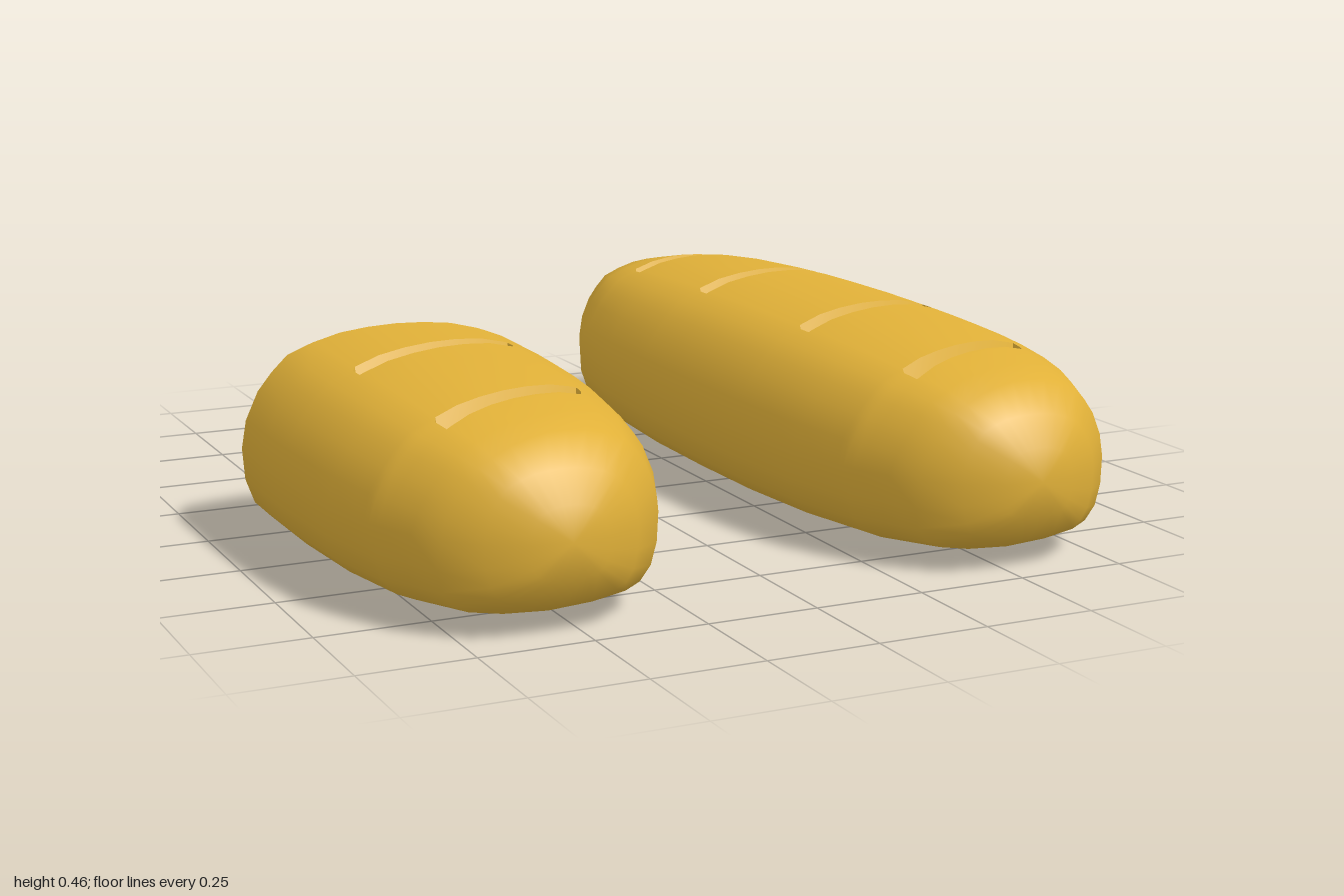
import * as THREE from 'three';
import { toCreasedNormals } from 'three/addons/utils/BufferGeometryUtils.js';

const MID_Y = 0.21;
const SLOPE = -0.27; // slant of the slashes, dz per dx

// Half cross-section, top to bottom: fraction of half width, fraction of height above / below MID_Y
const HALF = [[0, 1], [0.18, 0.99], [0.36, 0.96], [0.53, 0.895], [0.56, 0.88], [0.7, 0.8], [0.8, 0.66],
  [0.89, 0.5], [0.97, 0.25], [1, 0], [0.985, -0.35], [0.93, -0.62], [0.83, -0.8], [0.7, -0.89], [0.4, -0.965], [0, -1]];
const SECTION = [...HALF, ...HALF.slice(1, -1).reverse().map(([u, v]) => [-u, v])];

// Lengthwise profile: |z|, half width, rise above MID_Y, drop below MID_Y
const PROFILE = [[0, 0.37, 0.255, 0.205], [0.25, 0.367, 0.253, 0.204], [0.5, 0.352, 0.244, 0.198],
  [0.71, 0.317, 0.225, 0.19], [0.87, 0.245, 0.193, 0.175], [0.945, 0.166, 0.138, 0.14],
  [0.985, 0.085, 0.072, 0.08], [1, 0, 0, 0]];

// Groove across its width: offset in z, depth
const GROOVE = [[-0.028, 0], [-0.012, 0.034], [0.004, 0.036], [0.027, 0]];

function profileAt(z) {
  const d = Math.min(Math.abs(z), 1);
  let i = 1;
  while (PROFILE[i][0] < d) i++;
  const a = PROFILE[i - 1], b = PROFILE[i];
  const t = (d - a[0]) / (b[0] - a[0]);
  return [1, 2, 3].map((k) => a[k] + (b[k] - a[k]) * t);
}

// Rings are slanted along the slashes, but straight at the tips and at z = 0
function slant(s) {
  const d = Math.abs(s);
  return SLOPE * Math.min(1, d / 0.2) * THREE.MathUtils.clamp((0.93 - d) / 0.17, 0, 1);
}

function loafGeometry(from, slashes) {
  const stations = [];
  for (const s of slashes) for (const [dz, depth] of GROOVE) stations.push([s + dz, depth]);
  const levels = [...PROFILE.map((p) => p[0]), 0.12, 0.38, 0.6, 0.79];
  for (const s of new Set([...levels, ...levels.map((v) => 0 - v)])) {
    const clear = slashes.every((c) => Math.abs(s - c) > 0.035);
    if (s >= from && clear) stations.push([s, 0]);
  }
  stations.sort((a, b) => a[0] - b[0]);

  const pos = [], index = [], n = SECTION.length;
  stations.forEach(([s, depth], i) => {
    SECTION.forEach(([u, v], j) => {
      const z = s + slant(s) * THREE.MathUtils.clamp(u * 0.37, -0.21, 0.21) * Math.max(0, Math.min(1, v + 0.5));
      const [w, up, down] = profileAt(z);
      const cut = v > 0 && Math.abs(u) < 0.55 ? depth : 0;
      pos.push(u * w, MID_Y + v * (v > 0 ? up : down) - cut, z);
      if (i === stations.length - 1) return;
      const a = i * n + j, b = i * n + (j + 1) % n;
      index.push(a, a + n, b, b, a + n, b + n);
    });
  });
  const g = new THREE.BufferGeometry();
  g.setAttribute('position', new THREE.Float32BufferAttribute(pos, 3));
  g.setIndex(index);
  return toCreasedNormals(g, 0.75);
}

// Outline of the cut face, moved inwards by inset
function cutOutline(inset) {
  const [w, up, down] = profileAt(0);
  return SECTION.map(([u, v]) => new THREE.Vector2(
    u * (w - inset), MID_Y + v * ((v > 0 ? up : down) - inset)));
}

export function createModel() {
  const group = new THREE.Group();
  const crust = new THREE.MeshStandardMaterial({ color: 0xe0b038 });
  const crumb = new THREE.MeshStandardMaterial({ color: 0xd9d2aa });
  const add = (parent, name, geometry, material) => {
    const mesh = new THREE.Mesh(geometry, material);
    mesh.name = name;
    parent.add(mesh);
    return mesh;
  };

  // Whole loaf with four slashes
  const whole = add(group, 'wholeLoaf', loafGeometry(-1, [-0.69, -0.265, 0.25, 0.67]), crust);
  whole.position.x = 0.545;

  // Half loaf, cut open at the back
  const half = new THREE.Group();
  half.name = 'halfLoaf';
  half.position.x = -0.545;
  group.add(half);
  add(half, 'halfCrust', loafGeometry(0, [0.25, 0.67]), crust);

  const rim = new THREE.Shape(cutOutline(0));
  rim.holes.push(new THREE.Path(cutOutline(0.035)));
  add(half, 'crustRim', new THREE.ShapeGeometry(rim), crust).rotation.y = Math.PI;
  add(half, 'crumb', new THREE.ShapeGeometry(new THREE.Shape(cutOutline(0.035))), crumb).rotation.y = Math.PI;

  // Stand the loaves on the ground
  group.children.forEach((c) => { c.position.y = -0.005; });
  return group;
}
